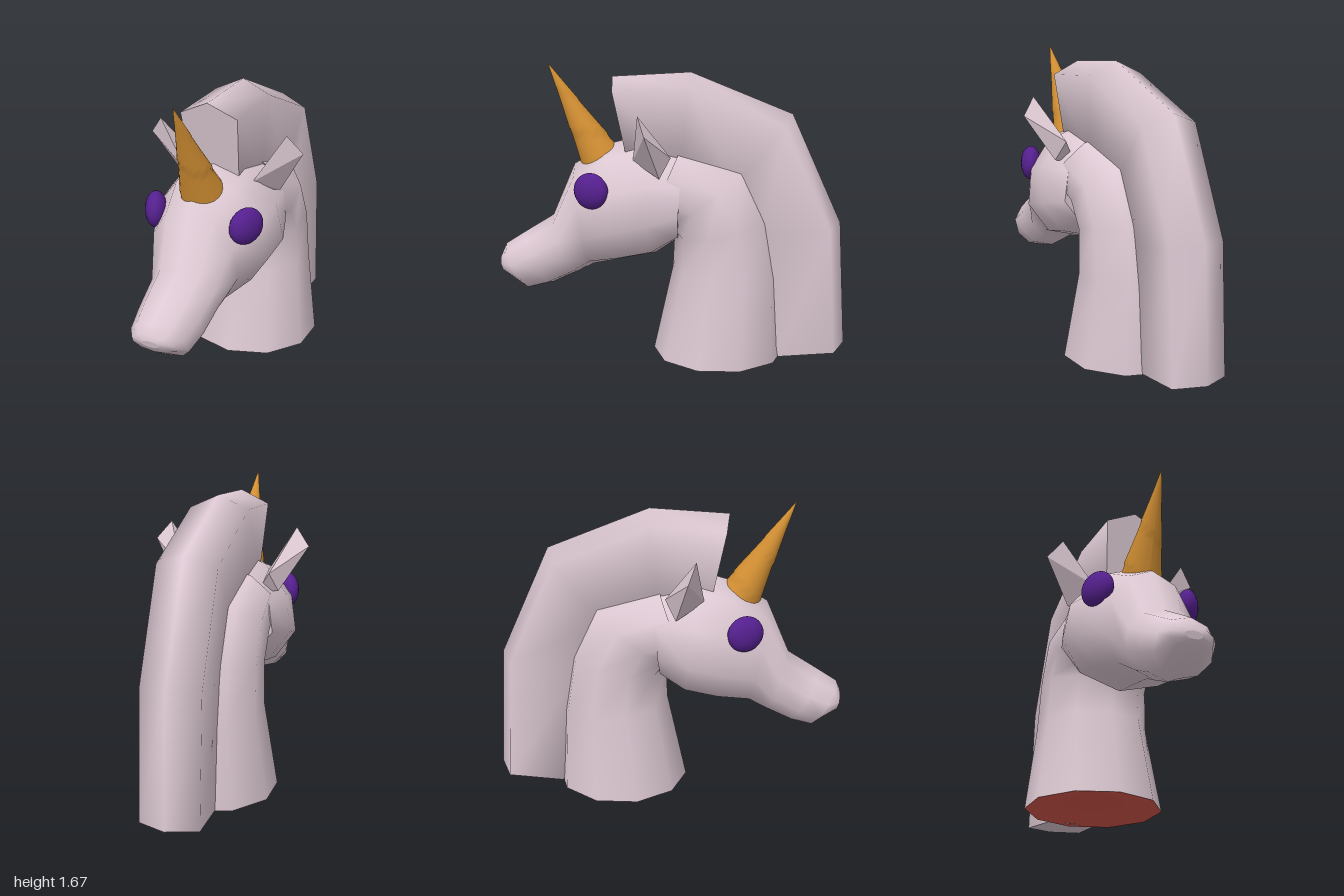
import * as THREE from 'three';
import { mergeGeometries } from 'three/addons/utils/BufferGeometryUtils.js';
import { ConvexGeometry } from 'three/addons/geometries/ConvexGeometry.js';

const V = (x, y, z) => new THREE.Vector3(x, y, z);
const mat = (name, color) => new THREE.MeshStandardMaterial({ name, color });

// Oval ring between two profile points [z, y]; k narrows the far side
function oval([za, ya], [zb, yb], halfWidth, k = 0, sides = 10) {
  const ring = [];
  for (let i = 0; i < sides; i++) {
    const t = (i / sides) * Math.PI * 2, c = Math.cos(t);
    const x = halfWidth * Math.sin(t) * (1 + k * c);
    ring.push(V(x, (ya + yb) / 2 + (c * (ya - yb)) / 2, (za + zb) / 2 + (c * (za - zb)) / 2));
  }
  return ring;
}

// Ridged strip ring from an inner to an outer profile point
function ridged([zi, yi], [zo, yo]) {
  const len = Math.hypot(zo - zi, yo - yi), f = 1 - 0.075 / len;
  const at = (x, s) => V(x, yi + (yo - yi) * s, zi + (zo - zi) * s);
  return [at(0.14, 0), at(0.165, f), at(0, 1), at(-0.165, f), at(-0.14, 0)];
}

function build(points, index) {
  const g = new THREE.BufferGeometry().setFromPoints(points);
  g.setIndex(index);
  g.computeVertexNormals();
  return g;
}

// Smooth skin over a series of rings
function loft(rings) {
  const n = rings[0].length, index = [];
  for (let i = 0; i < rings.length - 1; i++) {
    for (let j = 0; j < n; j++) {
      const a = i * n + j, b = i * n + ((j + 1) % n);
      index.push(a, b, b + n, a, b + n, a + n);
    }
  }
  return build(rings.flat(), index);
}

// Fan closing a ring; flip for the starting end
function fan(ring, centre, flip) {
  const n = ring.length, index = [];
  for (let j = 0; j < n; j++) {
    const k = (j + 1) % n;
    index.push(n, flip ? k : j, flip ? j : k);
  }
  return build([...ring, centre], index);
}

const middle = (ring) => ring.reduce((s, p) => s.add(p), V(0, 0, 0)).divideScalar(ring.length);

export function createModel() {
  const model = new THREE.Group();
  const coat = mat('pale pink coat', 0xdcc8d2);
  const gold = mat('gold horn', 0xd28f33);
  const purple = mat('purple eye', 0x55208f);
  const red = mat('red base', 0xd4554a);
  const add = (name, geometry, material) => {
    const mesh = new THREE.Mesh(geometry, material);
    mesh.name = name;
    model.add(mesh);
    return mesh;
  };

  // Neck: front point, back point, half width
  const neck = [
    oval([0.11, 0], [-0.65, 0], 0.385),
    oval([0.0, 0.5], [-0.62, 0.47], 0.318),
    oval([-0.01, 0.7], [-0.56, 0.8], 0.31),
    oval([0.05, 0.76], [-0.42, 1.1], 0.31),
    oval([0.15, 0.78], [-0.05, 1.21], 0.28),
  ];
  add('neck', loft(neck), coat);
  add('neckBase', fan(neck[0], V(0, 0.08, -0.27), true), red);

  // Head: chin point, top point, half width, jaw emphasis
  const head = [
    oval([-0.03, 0.67], [-0.06, 1.2], 0.3, 0.1),
    oval([0.1, 0.58], [0.2, 1.26], 0.355, 0.15),
    oval([0.28, 0.545], [0.38, 1.21], 0.345, 0.18),
    oval([0.46, 0.51], [0.56, 1.1], 0.255, 0.1),
    oval([0.56, 0.46], [0.69, 0.8], 0.195),
    oval([0.7, 0.395], [0.86, 0.695], 0.185),
    oval([0.82, 0.365], [0.97, 0.625], 0.165),
    oval([0.96, 0.46], [0.995, 0.57], 0.12),
    oval([0.99, 0.5], [1.0, 0.54], 0.05),
  ];
  const last = head[head.length - 1];
  add('head', mergeGeometries([
    loft(head), fan(head[0], middle(head[0]), true), fan(last, middle(last), false),
  ]), coat);

  // Mane crest from the foot of the neck to the forehead
  const mane = [
    ridged([-0.61, 0.005], [-1.0, 0.05]),
    ridged([-0.5, 0.7], [-0.955, 0.77]),
    ridged([-0.35, 1.0], [-0.67, 1.39]),
    ridged([-0.05, 1.1], [-0.1, 1.62]),
    ridged([0.25, 1.15], [0.34, 1.595]),
  ];
  add('mane', mergeGeometries([
    loft(mane), fan(mane[0], middle(mane[0]), true), fan(mane[4], middle(mane[4]), false),
  ]), coat);

  // Horn: cone with a shallow spiral step
  const horn = new THREE.ConeGeometry(0.125, 0.63, 24, 30);
  const p = horn.attributes.position;
  for (let i = 0; i < p.count; i++) {
    const t = p.getY(i) / 0.63 + 0.5;
    const turn = t * 2.5 + Math.atan2(p.getX(i), p.getZ(i)) / (Math.PI * 2) + 2;
    const s = 1 - 0.07 * (turn - Math.floor(turn));
    p.setX(i, p.getX(i) * s);
    p.setZ(i, p.getZ(i) * s);
  }
  horn.computeVertexNormals();
  const hornMesh = add('horn', horn, gold);
  const from = V(0, 1.12, 0.4), to = V(0, 1.67, 0.7);
  hornMesh.position.copy(from).lerp(to, 0.5);
  hornMesh.quaternion.setFromUnitVectors(V(0, 1, 0), to.sub(from).normalize());

  for (const [side, s] of [['left', 1], ['right', -1]]) {
    // Eye
    const eye = add(side + 'Eye', new THREE.SphereGeometry(1, 20, 14), purple);
    eye.scale.set(0.06, 0.1, 0.105);
    eye.position.set(s * 0.268, 0.995, 0.435);
    eye.rotation.y = -s * 0.45;

    // Ear: wedge rising to a slanted tip edge
    add(side + 'Ear', new ConvexGeometry([
      V(s * 0.375, 1.42, 0.17), V(s * 0.455, 1.32, 0.13),
      V(s * 0.2, 1.15, 0.21), V(s * 0.3, 1.07, 0.06),
      V(s * 0.26, 1.18, 0.0), V(s * 0.17, 1.05, 0.08),
    ]), coat);
  }
  return model;
}
